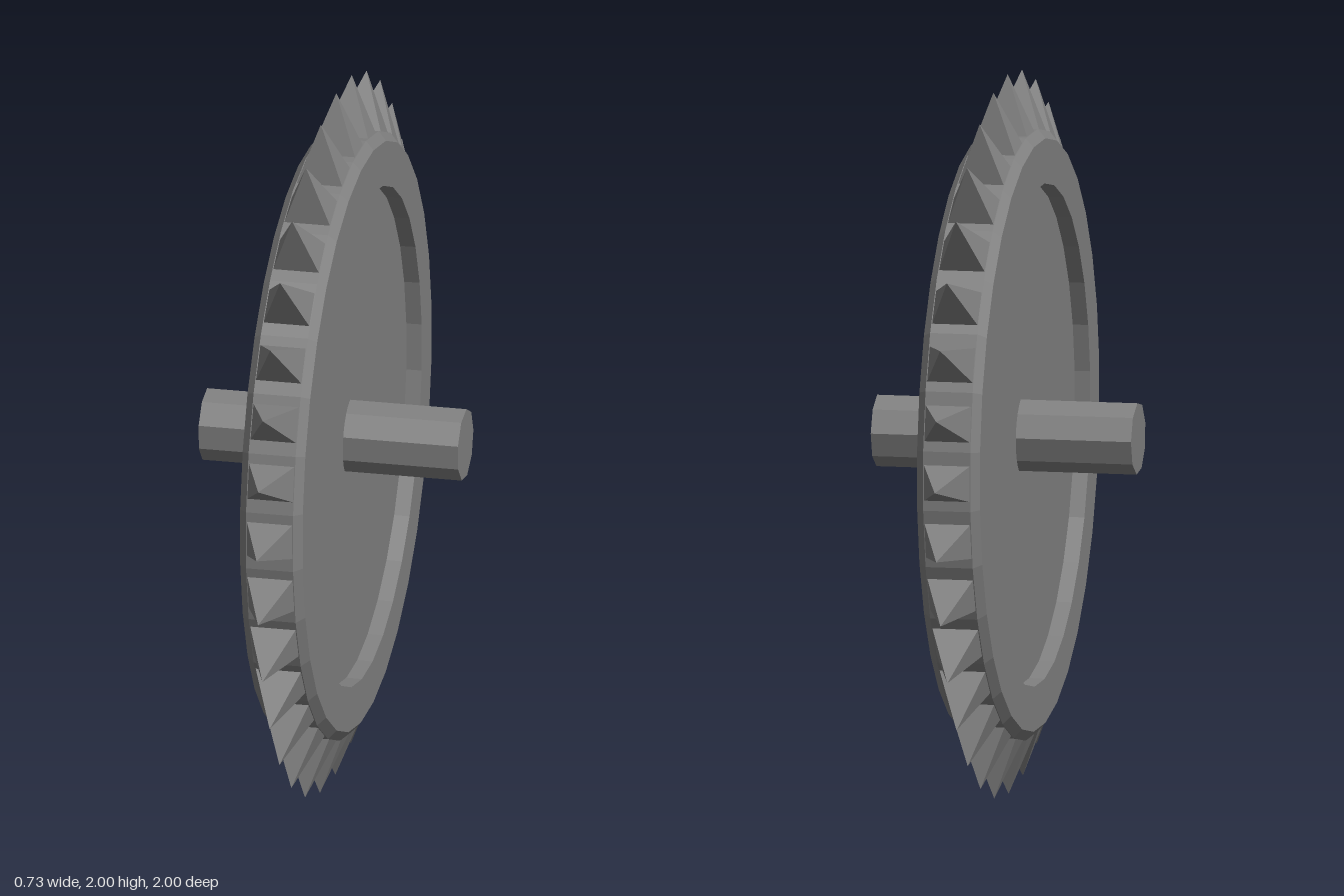
import * as THREE from 'three';

const TEETH = 32;

export function createModel() {
  const group = new THREE.Group();
  const mat = new THREE.MeshStandardMaterial({
    color: 0x808080, flatShading: true, side: THREE.DoubleSide,
  });

  const wheel = new THREE.Group();
  wheel.name = 'spikedWheel';
  wheel.position.y = 1;
  group.add(wheel);

  const add = (geometry, name, parent = wheel) => {
    const mesh = new THREE.Mesh(geometry, mat);
    mesh.name = name;
    parent.add(mesh);
    return mesh;
  };

  // Disc: hollow shell with recessed faces, raised bevelled rim and an open centre hole
  const half = [[0.115, 0.045], [0.69, 0.045], [0.691, 0.088], [0.815, 0.088], [0.84, 0.066]];
  const profile = [
    ...half.map(([r, x]) => [r, -x]),
    ...half.slice().reverse(),
  ].map(([r, x]) => new THREE.Vector2(r, x));
  const disc = new THREE.LatheGeometry(profile, TEETH, Math.PI / TEETH);
  disc.rotateZ(-Math.PI / 2);
  add(disc, 'disc');

  // Axle: faceted rod passing through the hole
  const axle = new THREE.CylinderGeometry(0.1, 0.1, 0.728, 9);
  axle.rotateZ(-Math.PI / 2);
  axle.rotateX(-0.3);
  add(axle, 'axle');

  // Spikes: four-sided pyramids around the rim
  const base = 0.83, tip = 1.0;
  const spike = new THREE.ConeGeometry(Math.SQRT2, 1, 4, 1, true);
  spike.rotateY(Math.PI / 4);
  spike.scale(0.066, tip - base, 0.051);
  spike.translate(0, (base + tip) / 2, 0);
  const spikes = new THREE.Group();
  spikes.name = 'spikes';
  wheel.add(spikes);
  for (let i = 0; i < TEETH; i++) {
    add(spike, 'spike', spikes).rotation.x = (i / TEETH) * Math.PI * 2 - 0.006;
  }

  return group;
}
